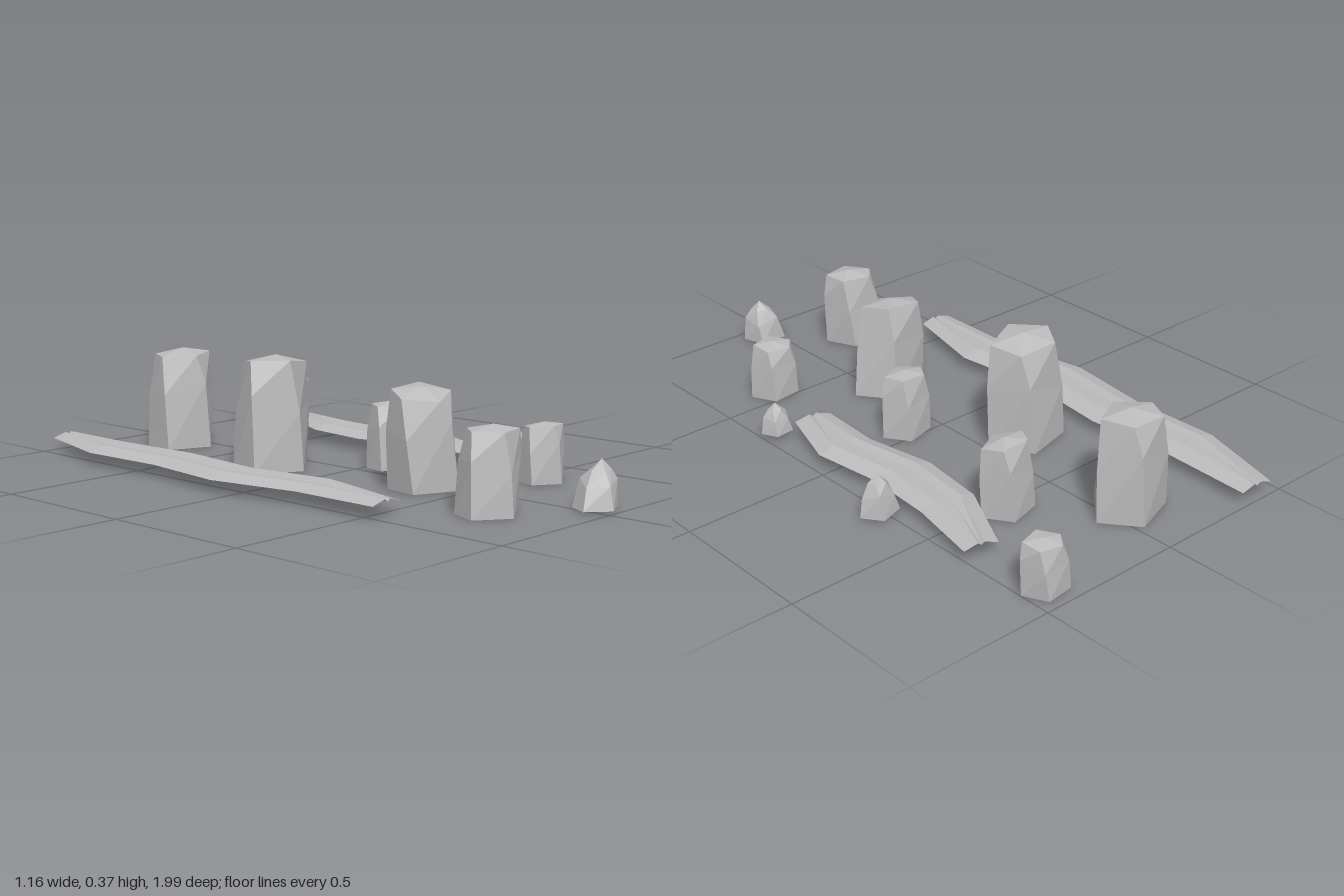
import * as THREE from 'three';

const stone = new THREE.MeshStandardMaterial({ color: 0xbbbbbb, flatShading: true, side: THREE.DoubleSide });
stone.name = 'grey stone';

function meshFrom(name, points, index) {
  const indexed = new THREE.BufferGeometry();
  indexed.setAttribute('position', new THREE.Float32BufferAttribute(points, 3));
  indexed.setIndex(index);
  const geometry = indexed.toNonIndexed();
  geometry.computeVertexNormals();
  const mesh = new THREE.Mesh(geometry, stone);
  mesh.name = name;
  return mesh;
}

// Uneven five-sided footprint shared by all rocks: [degrees, radius factor]
const FOOTPRINT = [[0, 1.03], [82, 0.9], [157, 1.05], [211, 0.98], [293, 0.96]];

// Ring levels of a rock: [height fraction, outline scale, twist in degrees]
const BLOCK = [[0, 1, 0], [0.58, 0.94, 7], [0.94, 0.76, 20]];
const PEAK = [[0, 1, 0], [0.5, 0.78, 8], [0.78, 0.42, 20]];

// Open-bottomed faceted rock: the turned footprint shrinks and twists upward to a tilted cap
function makeRock(name, x, z, radius, height, turn, { y0 = 0, lean = 0, tiltX = 0, tiltZ = 0, levels = BLOCK } = {}) {
  const n = FOOTPRINT.length;
  const points = [], index = [];
  levels.forEach(([f, scale, twist], r) => FOOTPRINT.forEach(([degrees, factor], i) => {
    const angle = THREE.MathUtils.degToRad(degrees + turn + twist);
    const dx = Math.cos(angle) * radius * factor * scale;
    const dz = Math.sin(angle) * radius * factor * scale;
    const wobble = r === 1 ? 0.1 * Math.sin(i * 2.4 + x * 20) : 0;
    const slope = r === 2 ? dx * tiltX + dz * tiltZ : 0;
    points.push(x + dx + lean * f, y0 + (height - y0) * (f + wobble) + slope, z + dz);
  }));
  points.push(x + lean, height, z);
  const apex = n * levels.length, top = apex - n;
  for (let i = 0; i < n; i++) {
    const j = (i + 1) % n;
    for (let ring = 0; ring < top; ring += n) {
      const a = ring + i, b = ring + j, c = a + n, d = b + n;
      index.push(a, c, b, b, c, d);
    }
    index.push(top + i, apex, top + j);
  }
  return meshFrom(name, points, index);
}

// Ridge cross-sections: [position across from -1 to 1, height]
const RIDGE_MIDDLE = [[-1, 0.042], [-0.46, 0.06], [-0.12, 0.057], [0.43, 0.061], [1, 0.042]];
const RIDGE_END = [[-1, 0.042], [-0.2, 0.057], [0, 0.049], [0.2, 0.057], [1, 0.042]];

// Thin arched ribbon through stations [centre x, centre z, half width]
function makeRidge(name, skew, stations) {
  const points = [], index = [];
  stations.forEach(([x, z, half], s) => {
    const section = s === 0 || s === stations.length - 1 ? RIDGE_END : RIDGE_MIDDLE;
    for (const [t, y] of section) points.push(x + half * t, y, z + skew * t);
    if (s === 0) return;
    for (let k = 0; k < 4; k++) {
      const c = s * 5 + k, d = c + 1, a = c - 5, b = a + 1;
      index.push(a, c, b, b, c, d);
    }
  });
  return meshFrom(name, points, index);
}

export function createModel() {
  const group = new THREE.Group();
  group.name = 'standingStones';

  group.add(
    // Large standing rocks
    makeRock('largeRockBack', -0.07, -0.76, 0.13, 0.342, -2, { tiltX: 0.03 }),
    makeRock('largeRockMiddle', -0.15, -0.225, 0.14, 0.372, 3, { lean: 0.01, tiltX: -0.1, tiltZ: 0.1 }),
    makeRock('largeRockFront', -0.05, 0.35, 0.13, 0.318, 0, { lean: -0.025, tiltX: 0.08, tiltZ: -0.2 }),
    makeRock('largeRockNear', -0.215, 0.73, 0.105, 0.262, 12, { lean: 0.015 }),
    // Medium rocks
    makeRock('mediumRockBack', 0.205, -0.52, 0.094, 0.248, 2, { lean: 0.012, tiltX: -0.12, tiltZ: -0.15 }),
    makeRock('mediumRockMiddle', 0.115, 0.055, 0.087, 0.22, 2, { tiltZ: -0.05 }),
    makeRock('mediumRockFront', 0.27, 0.56, 0.083, 0.19, 10, { tiltZ: 0.08 }),
    makeRock('mediumRockFarBack', 0.42, -0.905, 0.077, 0.17, 10, { lean: 0.012, tiltZ: 0.1 }),
    // Small pointed rocks
    makeRock('smallRockSide', 0.515, -0.29, 0.068, 0.14, 0, { y0: 0.01, lean: 0.005, levels: PEAK }),
    makeRock('smallRockFront', 0.45, 0.305, 0.053, 0.12, 10, { y0: 0.018, lean: 0.005, levels: PEAK }),
    makeRock('smallRockNear', 0.04, 0.928, 0.075, 0.15, 18, { y0: 0.006, lean: 0.02, levels: PEAK }),
    // Low winding ridges on either side
    makeRidge('longRidge', 0.005, [
      [-0.4, -0.993, 0.06], [-0.45, -0.68, 0.1], [-0.435, -0.37, 0.105],
      [-0.472, -0.06, 0.107], [-0.425, 0.25, 0.096], [-0.462, 0.557, 0.058],
    ]),
    makeRidge('shortRidge', 0.014, [
      [0.455, -0.682, 0.055], [0.367, -0.438, 0.093], [0.345, -0.205, 0.1],
      [0.382, 0.035, 0.093], [0.338, 0.258, 0.062],
    ]),
  );
  return group;
}
